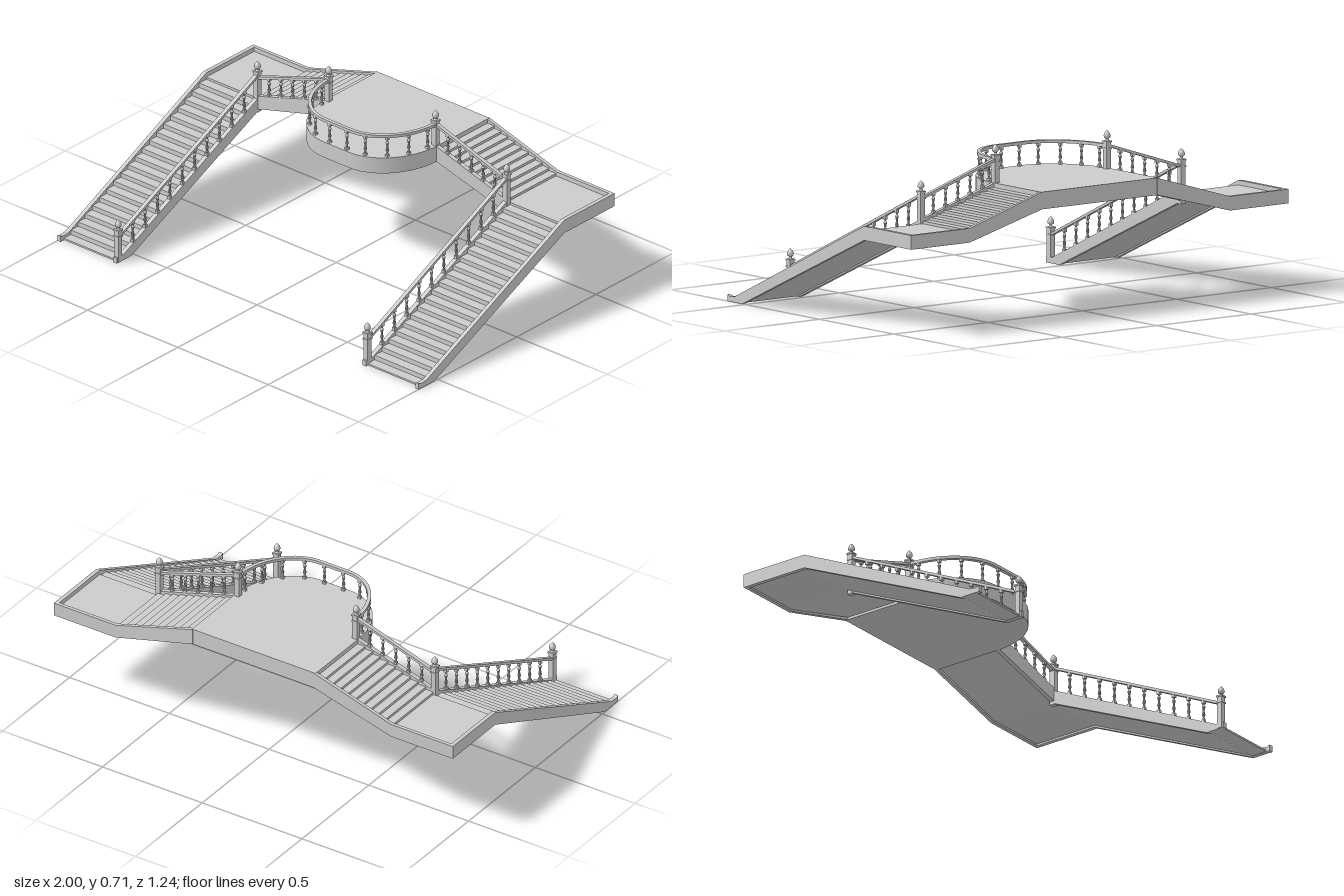
import * as THREE from 'three';
import { toCreasedNormals } from 'three/addons/utils/BufferGeometryUtils.js';

const material = new THREE.MeshStandardMaterial({ color: 0xcccccc });

function add(parent, name, geometry, x = 0, y = 0, z = 0) {
  const mesh = new THREE.Mesh(geometry, material);
  mesh.name = name;
  mesh.position.set(x, y, z);
  parent.add(mesh);
  return mesh;
}

function extrude(points, depth) {
  const shape = new THREE.Shape(points.map(([a, b]) => new THREE.Vector2(a, b)));
  return new THREE.ExtrudeGeometry(shape, { depth, bevelEnabled: false });
}

// Profile in (z, y), centred on x with the given width
const acrossX = (points, width) =>
  extrude(points, width).rotateY(-Math.PI / 2).translate(width / 2, 0, 0);
// Profile in (x, y), centred on z
const acrossZ = (points, width) => extrude(points, width).translate(0, 0, -width / 2);
// Plan in (x, z), from the top downwards
const plan = (points, height) => toCreasedNormals(extrude(points, height).rotateX(Math.PI / 2), 0.5);

const lathe = (profile, segments) =>
  toCreasedNormals(new THREE.LatheGeometry(profile.map(([r, y]) => new THREE.Vector2(r, y)), segments), 0.8);

// Turned baluster between two heights, with square end blocks
function baluster(parent, x, z, y0, y1) {
  const group = new THREE.Group();
  group.name = 'baluster';
  const h = y1 - y0;
  const turned = lathe([[0.004, 0.1], [0.006, 0.17], [0.0035, 0.2], [0.0075, 0.33], [0.004, 0.5],
    [0.0045, 0.56], [0.0075, 0.7], [0.0035, 0.8], [0.006, 0.84], [0.004, 0.9]]
    .map(([r, t]) => [r, t * h]), 10);
  add(group, 'balusterShaft', turned);
  for (const t of [0.03, 0.93]) {
    add(group, 'balusterBlock', new THREE.BoxGeometry(0.014, h * 0.16, 0.014), 0, t * h, 0);
  }
  group.position.set(x, y0, z);
  parent.add(group);
}

// Square newel post with collar and acorn finial
function newel(parent, x, z, y0, y1) {
  const group = new THREE.Group();
  group.name = 'newelPost';
  const top = y1 - y0 - 0.048;
  add(group, 'newelShaft', new THREE.BoxGeometry(0.024, top, 0.024), 0, top / 2, 0);
  add(group, 'newelCollar', new THREE.BoxGeometry(0.029, 0.006, 0.029), 0, top - 0.028, 0);
  add(group, 'newelCap', new THREE.BoxGeometry(0.03, 0.007, 0.03), 0, top, 0);
  add(group, 'newelFinial', lathe([[0.012, 0], [0.006, 0.009], [0.006, 0.012], [0.013, 0.018],
    [0.0145, 0.025], [0.012, 0.034], [0.006, 0.043], [0, 0.048]], 14), 0, top, 0);
  group.position.set(x, y0, z);
  parent.add(group);
}

// Rounded front edge of the platform, from +x to -x
function bayCurve(inset) {
  const points = [];
  const n = 20;
  for (const side of [1, -1]) {
    for (let i = 0; i <= n; i++) {
      const a = (side > 0 ? i : n - i) / n * Math.PI / 2;
      points.push([side * (0.07 + (0.24 - inset) * Math.cos(a)), -0.29 + (0.29 - inset) * Math.sin(a)]);
    }
  }
  return points;
}

function buildPlatform(parent) {
  const group = new THREE.Group();
  group.name = 'platform';
  add(group, 'platformSlab', plan([...bayCurve(0), [-0.31, -0.615], [0.31, -0.615]], 0.073), 0, 0.545, 0);
  add(group, 'curvedHandrail', plan([...bayCurve(0.006), ...bayCurve(0.022).reverse()], 0.013), 0, 0.648, 0);
  const path = new THREE.CatmullRomCurve3(bayCurve(0.014).map(([x, z]) => new THREE.Vector3(x, 0, z)));
  const count = 10;
  for (let i = 0; i < count; i++) {
    const p = path.getPointAt((i + 0.5) / count);
    baluster(group, p.x, p.z, 0.545, 0.637);
  }
  parent.add(group);
}

// One wing: lower flight, corner landing and upper flight; s is the sign of x
function buildWing(parent, s) {
  const group = new THREE.Group();
  group.name = s > 0 ? 'leftWing' : 'rightWing';
  const mirrored = (points) => points.map(([x, y]) => [s * x, y]);

  // Lower flight of steps
  const lower = [[0.53, 0.002], [0.6, 0.002]];
  for (let i = 0; i < 20; i++) {
    const y = 0.01 + i * 0.0205;
    lower.push([0.6 - i * 0.045, y], [0.555 - i * 0.045, y]);
  }
  lower.push([-0.3, 0.378]);
  add(group, 'lowerSteps', acrossX(lower, 0.3), s * 0.84);

  // Outer stringer runs on around the landing
  const lineY = (z) => 0.025 + (0.57 - z) * 0.4655;
  add(group, 'outerStringer', acrossX([[0.62, 0], [0.52, 0], [-0.3, 0.37], [-0.618, 0.37],
    [-0.618, 0.43], [-0.3, 0.43], [0.57, 0.025], [0.605, 0.022], [0.62, 0.028]], 0.018), s * 0.991);
  add(group, 'innerStringer', acrossX([[0.61, 0], [0.52, 0], [-0.3, 0.37], [-0.3, 0.43],
    [0.57, 0.025], [0.61, 0.025]], 0.02), s * 0.69);

  // Landing
  add(group, 'landing', new THREE.BoxGeometry(0.3, 0.032, 0.315), s * 0.84, 0.394, -0.4575);

  // Upper flight of steps
  const upper = [[0.31, 0.483], [0.69, 0.378]];
  for (let i = 0; i < 10; i++) {
    const y = 0.4215 + i * 0.0115;
    upper.push([0.69 - i * 0.038, y], [0.652 - i * 0.038, y]);
  }
  add(group, 'upperSteps', acrossZ(mirrored(upper), 0.315), 0, 0, -0.4525);

  // Upper stringers
  const slope = [[0.305, 0.473], [0.69, 0.37], [0.69, 0.43], [0.305, 0.545]];
  add(group, 'frontStringer', acrossZ(mirrored(slope), 0.02), 0, 0, -0.29);
  add(group, 'backStringer', acrossZ(mirrored([[0.305, 0.473], [0.69, 0.37], [0.998, 0.37],
    [0.998, 0.43], [0.69, 0.43], [0.305, 0.545]]), 0.016), 0, 0, -0.61);

  // Sloping handrails
  add(group, 'lowerHandrail', acrossX([[0.59, 0.111], [-0.29, 0.523], [-0.29, 0.535], [0.59, 0.123]], 0.018), s * 0.69);
  add(group, 'upperHandrail', acrossZ(mirrored([[0.295, 0.638], [0.69, 0.51], [0.69, 0.522], [0.295, 0.65]]), 0.018), 0, 0, -0.29);

  // Balusters
  for (let i = 0; i < 10; i++) {
    const z = 0.498 - i * 0.0782;
    baluster(group, s * 0.69, z, lineY(z), 0.113 + (0.59 - z) * 0.468);
  }
  for (let i = 0; i < 5; i++) {
    const x = 0.625 - i * 0.065;
    baluster(group, s * x, -0.29, 0.43 + (0.69 - x) * 0.299, 0.513 + (0.69 - x) * 0.324);
  }

  // Newel posts at the foot, the landing and the platform
  newel(group, s * 0.69, 0.59, 0.002, 0.196);
  newel(group, s * 0.69, -0.29, 0.358, 0.592);
  newel(group, s * 0.296, -0.29, 0.475, 0.707);
  parent.add(group);
}

export function createModel() {
  const model = new THREE.Group();
  model.name = 'doubleStaircase';
  buildPlatform(model);
  for (const s of [1, -1]) buildWing(model, s);
  return model;
}
